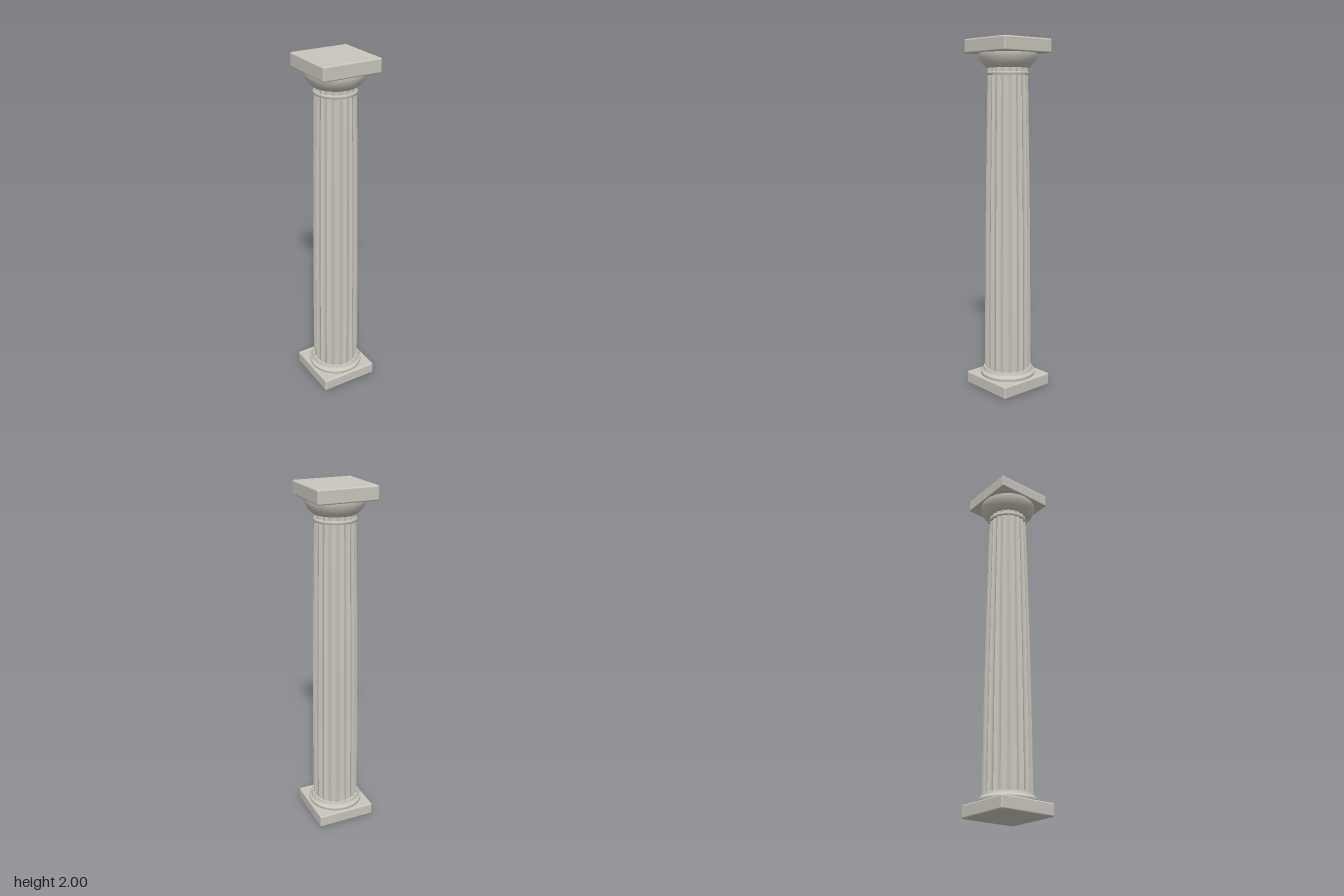
import * as THREE from 'three';
import { toCreasedNormals } from 'three/addons/utils/BufferGeometryUtils.js';
import { RoundedBoxGeometry } from 'three/addons/geometries/RoundedBoxGeometry.js';

const FLUTES = 20;
const SHAFT_BOTTOM = 0.11;
const SHAFT_TOP = 1.85;

// Shaft radius at height fraction t, with a slight swelling
const shaftRadius = (t) => 0.135 - 0.023 * t + 0.004 * Math.sin(Math.PI * t);

// Concave flutes meeting in sharp ridges; each flute keeps its own vertices
function flutedShaft() {
  const rows = 16, cols = 8, positions = [], indices = [];
  for (let f = 0; f < FLUTES; f++) {
    const start = positions.length / 3;
    for (let j = 0; j <= rows; j++) {
      const t = j / rows;
      const y = SHAFT_BOTTOM + (SHAFT_TOP - SHAFT_BOTTOM) * t;
      for (let i = 0; i <= cols; i++) {
        const u = i / cols;
        const a = ((f + u) / FLUTES) * Math.PI * 2;
        const r = shaftRadius(t) * (1 - 0.075 * 4 * u * (1 - u));
        positions.push(Math.sin(a) * r, y, Math.cos(a) * r);
      }
    }
    for (let j = 0; j < rows; j++) {
      for (let i = 0; i < cols; i++) {
        const a = start + j * (cols + 1) + i, b = a + 1;
        const d = a + cols + 1, c = d + 1;
        indices.push(a, b, c, a, c, d);
      }
    }
  }
  const geometry = new THREE.BufferGeometry();
  geometry.setAttribute('position', new THREE.Float32BufferAttribute(positions, 3));
  geometry.setIndex(indices);
  geometry.computeVertexNormals();
  return geometry;
}

// Round moulding from [radius, height] pairs, listed bottom to top
function moulding(profile) {
  const points = profile.map(([r, y]) => new THREE.Vector2(r, y));
  return toCreasedNormals(new THREE.LatheGeometry(points, 64), 0.6);
}

export function createModel() {
  const model = new THREE.Group();
  model.name = 'flutedColumn';
  const stone = new THREE.MeshStandardMaterial({ color: 0xc8c5bb });
  stone.name = 'paleStone';

  const add = (name, geometry, y = 0) => {
    const mesh = new THREE.Mesh(geometry, stone);
    mesh.name = name;
    mesh.position.y = y;
    model.add(mesh);
  };

  // Square slabs at the foot and head
  add('plinth', new RoundedBoxGeometry(0.345, 0.072, 0.345, 3, 0.009), 0.036);
  add('abacus', new RoundedBoxGeometry(0.345, 0.078, 0.345, 3, 0.009), 1.961);

  // Flared foot between plinth and shaft
  add('baseMoulding', moulding([
    [0, 0.068], [0.157, 0.068], [0.16, 0.078], [0.16, 0.087], [0.155, 0.093],
    [0.148, 0.097], [0.143, 0.105], [0.141, 0.116], [0, 0.116],
  ]));

  add('shaft', flutedShaft());

  // Thin band around the top of the shaft
  add('neckRing', moulding([
    [0.105, 1.803], [0.115, 1.803], [0.118, 1.808], [0.118, 1.816],
    [0.115, 1.821], [0.105, 1.821],
  ]));

  // Cushion that spreads out below the top slab
  add('echinus', moulding([
    [0, 1.842], [0.115, 1.842], [0.127, 1.85], [0.141, 1.863], [0.153, 1.88],
    [0.161, 1.898], [0.165, 1.912], [0.165, 1.924], [0, 1.924],
  ]));

  return model;
}
